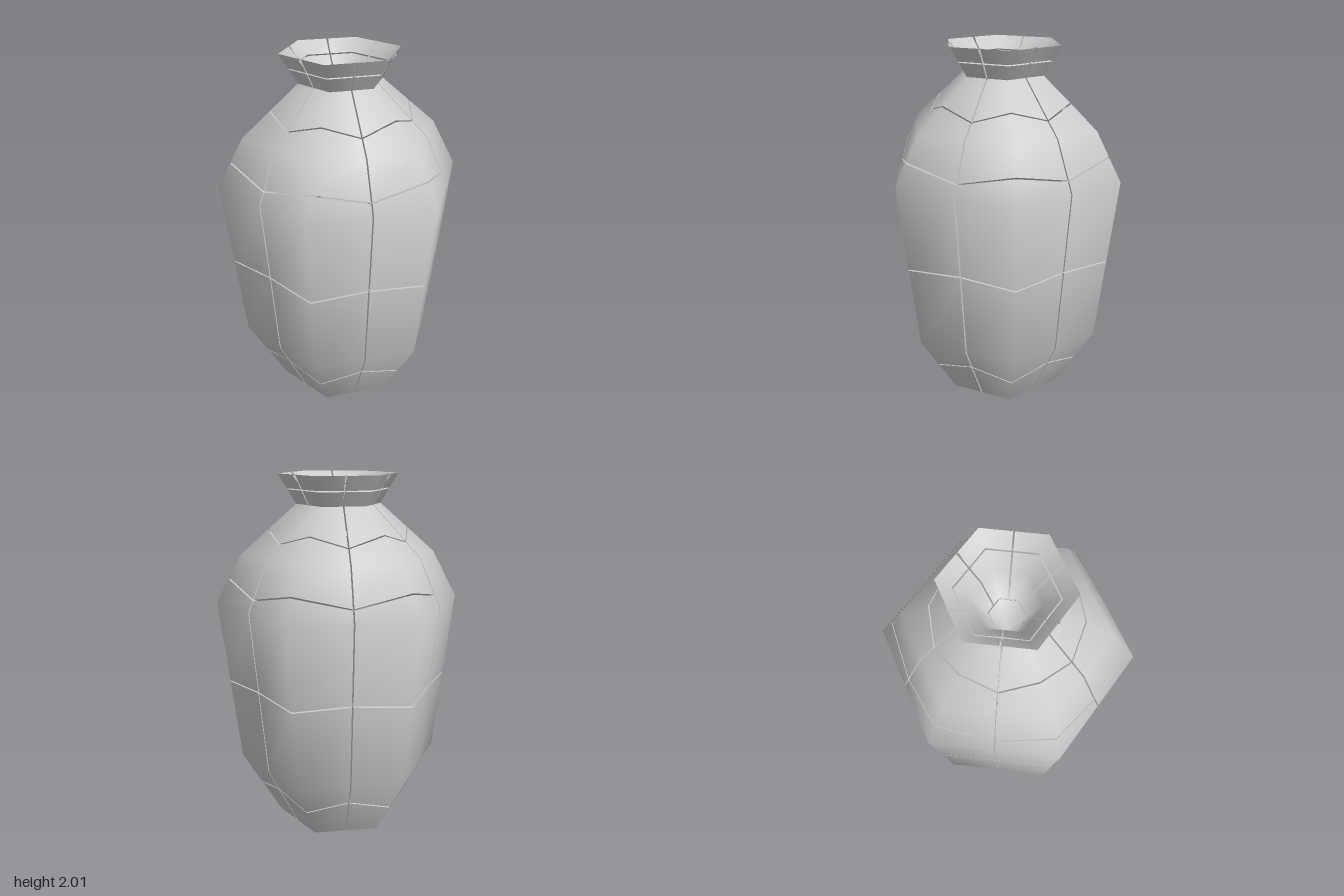
import * as THREE from 'three';

// Profile rings from the base centre, up the outside, over the lip, down the funnel: [corner radius, y]
const RINGS = [[0, 0], [0.355, 0], [0.575, 0.375], [0.68, 1.31], [0.54, 1.57],
  [0.232, 1.84], [0.33, 2], [0.175, 1.86], [0, 1.5]];
const NAMES = ['', 'baseTile', 'lowerBodyTile', 'upperBodyTile', 'shoulderTile', 'neckTile', 'lipTile', 'throatTile', 'throatCap'];
const DEPTH = [0, 0.05, 0.08, 0.08, 0.06, 0.03, 0.012, 0.02, 0.02]; // shell thickness per ring
const CREASED = [1, 5, 6];                                          // rings with a sharp edge
// Where the seam crosses each segment: [on a hexagon corner, in the middle of a side]
const SEAMS = [[0, 0], [0.5, 0.66], [0.5, 0.52], [0.5, 0.25], [0.5, 0.3], [0.5, 0.5], [0.5, 0.5], [0.46, 0.46]];
const GAP = 0.004;
const SIDES = 6;

const segLength = (s) => Math.hypot(RINGS[s + 1][0] - RINGS[s][0], RINGS[s + 1][1] - RINGS[s][1]);

// Profile normal of a segment, as (radial, y)
function segNormal(s) {
  const [r0, y0] = RINGS[s], [r1, y1] = RINGS[s + 1];
  return new THREE.Vector2(y1 - y0, r0 - r1).normalize();
}

// Normal at a ring as seen from segment s, averaged unless creased
function ringNormal(s, ring) {
  if (ring === RINGS.length - 1) return new THREE.Vector2(0, 1);
  const n = segNormal(s);
  const other = ring === s ? s - 1 : s + 1;
  if (CREASED.includes(ring) || other < 0 || other >= RINGS.length - 1) return n;
  return n.add(segNormal(other)).normalize();
}

// Point and normal on segment s at fraction t; col -1, 0, 1 = side middle, corner, side middle
function surfacePoint(s, t, k, col, gap) {
  const r = THREE.MathUtils.lerp(RINGS[s][0], RINGS[s + 1][0], t);
  const y = THREE.MathUtils.lerp(RINGS[s][1], RINGS[s + 1][1], t);
  const step = Math.PI * 2 / SIDES, a = k * step, b = (k + col) * step;
  const corner = new THREE.Vector3(r * Math.cos(a), y, r * Math.sin(a));
  const next = new THREE.Vector3(r * Math.cos(b), y, r * Math.sin(b));
  const u = r > 2 * gap ? 0.5 - gap / r : 0;
  const n2 = ringNormal(s, s).lerp(ringNormal(s, s + 1), t).normalize();
  const c = a + col * step / 2;
  return {
    p: corner.lerp(next, u),
    n: new THREE.Vector3(n2.x * Math.cos(c), n2.y, n2.x * Math.sin(c)),
  };
}

// One tile: the halves of the two segments meeting at a ring corner, with walls going inward
function tileGeometry(ring, k) {
  const pos = [], nor = [];
  const gap = ring === RINGS.length - 1 ? 0 : GAP;
  const tri = (...v) => v.forEach(({ p, n }) => { pos.push(p.x, p.y, p.z); nor.push(n.x, n.y, n.z); });
  const quad = (a, b, c, d) => { tri(a, b, c); tri(a, c, d); };
  const wall = (a, b) => {
    const inner = (q) => q.p.clone().addScaledVector(q.n, -DEPTH[ring]);
    const pts = [b.p, a.p, inner(a), inner(b)];
    const n = pts[1].clone().sub(pts[0]).cross(pts[3].clone().sub(pts[0])).normalize();
    quad(...pts.map((p) => ({ p, n })));
  };
  for (const s of [ring - 1, ring]) {
    if (s >= RINGS.length - 1) continue;
    const below = s === ring - 1;
    const cut = (col) => {
      const f = SEAMS[s][Math.abs(col)];
      const shift = s === 0 ? 0 : GAP / segLength(s);
      return f + (below ? shift : -shift);
    };
    const row = (edge) => [-1, 0, 1].map((col) =>
      surfacePoint(s, edge ? cut(col) : (below ? 1 : 0), k, col, gap));
    const low = row(below), high = row(!below);
    for (let c = 0; c < 2; c++) {
      quad(low[c + 1], low[c], high[c], high[c + 1]);
      if (below && s > 0) wall(low[c + 1], low[c]);
      if (!below) wall(high[c], high[c + 1]);
    }
    if (gap > 0) {
      wall(low[0], high[0]);
      wall(high[2], low[2]);
    }
  }
  const g = new THREE.BufferGeometry();
  g.setAttribute('position', new THREE.Float32BufferAttribute(pos, 3));
  g.setAttribute('normal', new THREE.Float32BufferAttribute(nor, 3));
  return g;
}

export function createModel() {
  const vase = new THREE.Group();
  vase.name = 'vase';
  const material = new THREE.MeshStandardMaterial({ color: 0xcccccc, side: THREE.DoubleSide });
  // Six tiles around every ring of the vase
  for (let ring = 1; ring < RINGS.length; ring++) {
    const band = new THREE.Group();
    band.name = NAMES[ring] + 's';
    for (let k = 0; k < SIDES; k++) {
      const tile = new THREE.Mesh(tileGeometry(ring, k), material);
      tile.name = NAMES[ring];
      band.add(tile);
    }
    vase.add(band);
  }
  return vase;
}
